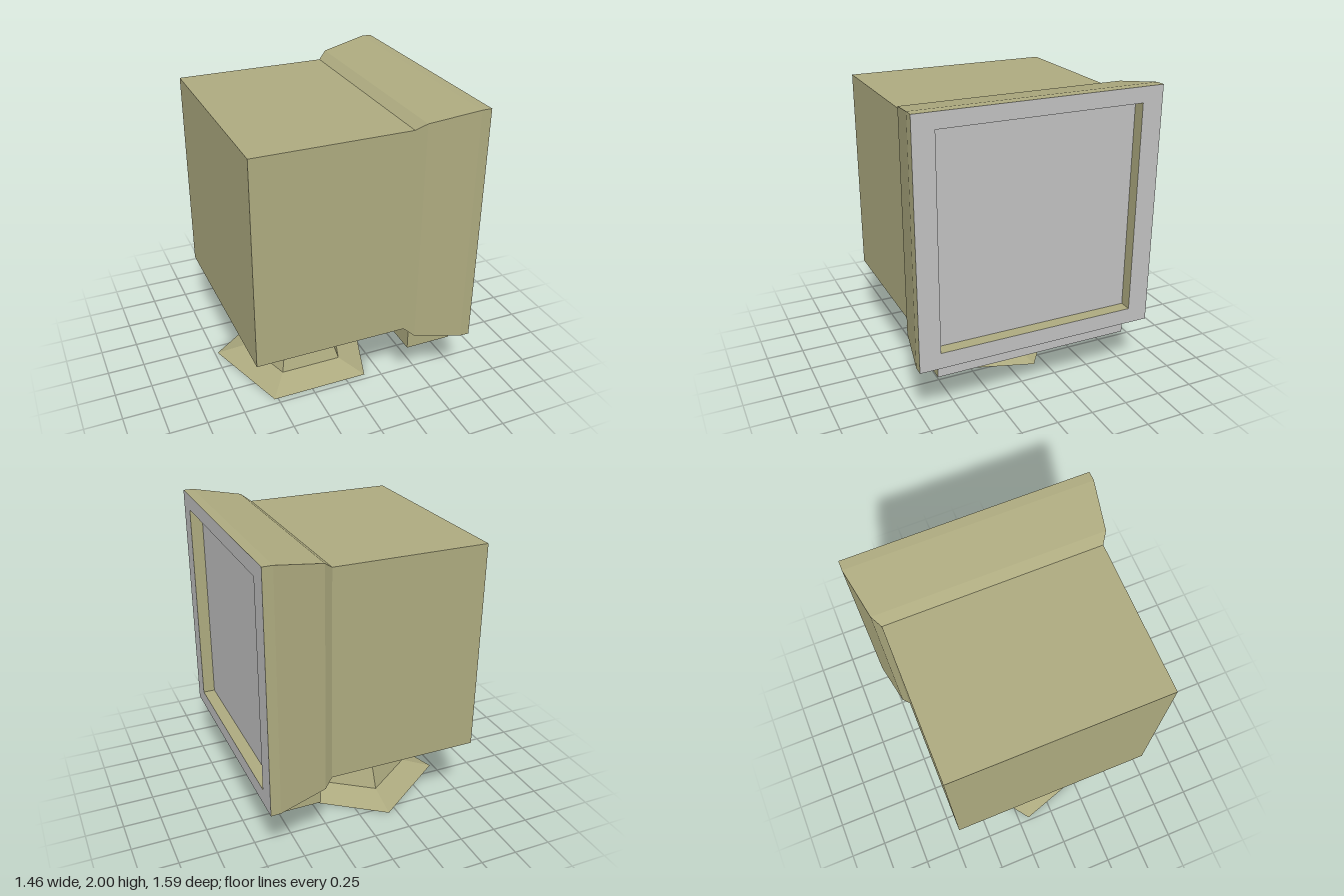
import * as THREE from 'three';

const shellMat = new THREE.MeshStandardMaterial({ name: 'olive shell', color: 0xadaa7f });
const glassMat = new THREE.MeshStandardMaterial({ name: 'grey face', color: 0xc0c0c0 });

// Flat-faced skin through rectangular cross-sections [x, yBottom, yTop, halfDepth]
function loft(sections) {
  const rings = sections.map(([x, y0, y1, z]) => [[x, y0, z], [x, y0, -z], [x, y1, -z], [x, y1, z]]);
  const pos = [];
  for (let s = 0; s < rings.length - 1; s++) {
    const a = rings[s], b = rings[s + 1];
    for (let i = 0; i < 4; i++) {
      const j = (i + 1) % 4;
      pos.push(...a[i], ...a[j], ...b[j], ...a[i], ...b[j], ...b[i]);
    }
  }
  const g = new THREE.BufferGeometry();
  g.setAttribute('position', new THREE.Float32BufferAttribute(pos, 3));
  g.computeVertexNormals();
  return g;
}

function box(x0, x1, y0, y1, halfDepth) {
  return new THREE.BoxGeometry(x1 - x0, y1 - y0, halfDepth * 2)
    .translate((x0 + x1) / 2, (y0 + y1) / 2, 0);
}

// Five-sided tapered stand section, one corner pointing to -z
function pentagon(rTop, rBottom, y0, y1, open) {
  const g = new THREE.CylinderGeometry(rTop, rBottom, y1 - y0, 5, 1, open, Math.PI)
    .translate(-0.1925, (y0 + y1) / 2, 0).toNonIndexed();
  g.computeVertexNormals();
  return g;
}

export function createModel() {
  const model = new THREE.Group();
  model.name = 'monitor';
  const add = (name, geometry, material) => {
    const mesh = new THREE.Mesh(geometry, material);
    mesh.name = name;
    model.add(mesh);
  };

  // Stand
  add('standFoot', pentagon(0.355, 0.565, 0, 0.063, false), shellMat);
  add('standNeck', pentagon(0.168, 0.355, 0.063, 0.515, true), shellMat);

  // Housing and flared bezel
  add('housing', box(-0.715, 0.29, 0.512, 1.9, 0.7), shellMat);
  const outer = [0.73, 0.413, 2.0, 0.797];
  const inner = [0.73, 0.518, 1.9, 0.66];
  const back = [0.65, 0.518, 1.9, 0.66];
  add('bezelShell', loft([[0.29, 0.512, 1.9, 0.7], [0.35, 0.468, 1.945, 0.74], [0.665, 0.415, 2.0, 0.797], outer]), shellMat);
  add('bezelFace', loft([outer, inner]), glassMat);
  add('screenRecess', loft([inner, back]), shellMat);

  // Screen set back in the recess
  const screen = new THREE.PlaneGeometry(1.32, 1.382).rotateY(Math.PI / 2).translate(0.65, 1.209, 0);
  add('screen', screen, glassMat);

  // Control panel under the bezel, grey on its front (+x) side only
  add('controlPanel', box(0.35, 0.665, 0.313, 0.48, 0.66),
    [glassMat, shellMat, shellMat, shellMat, shellMat, shellMat]);

  return model;
}
